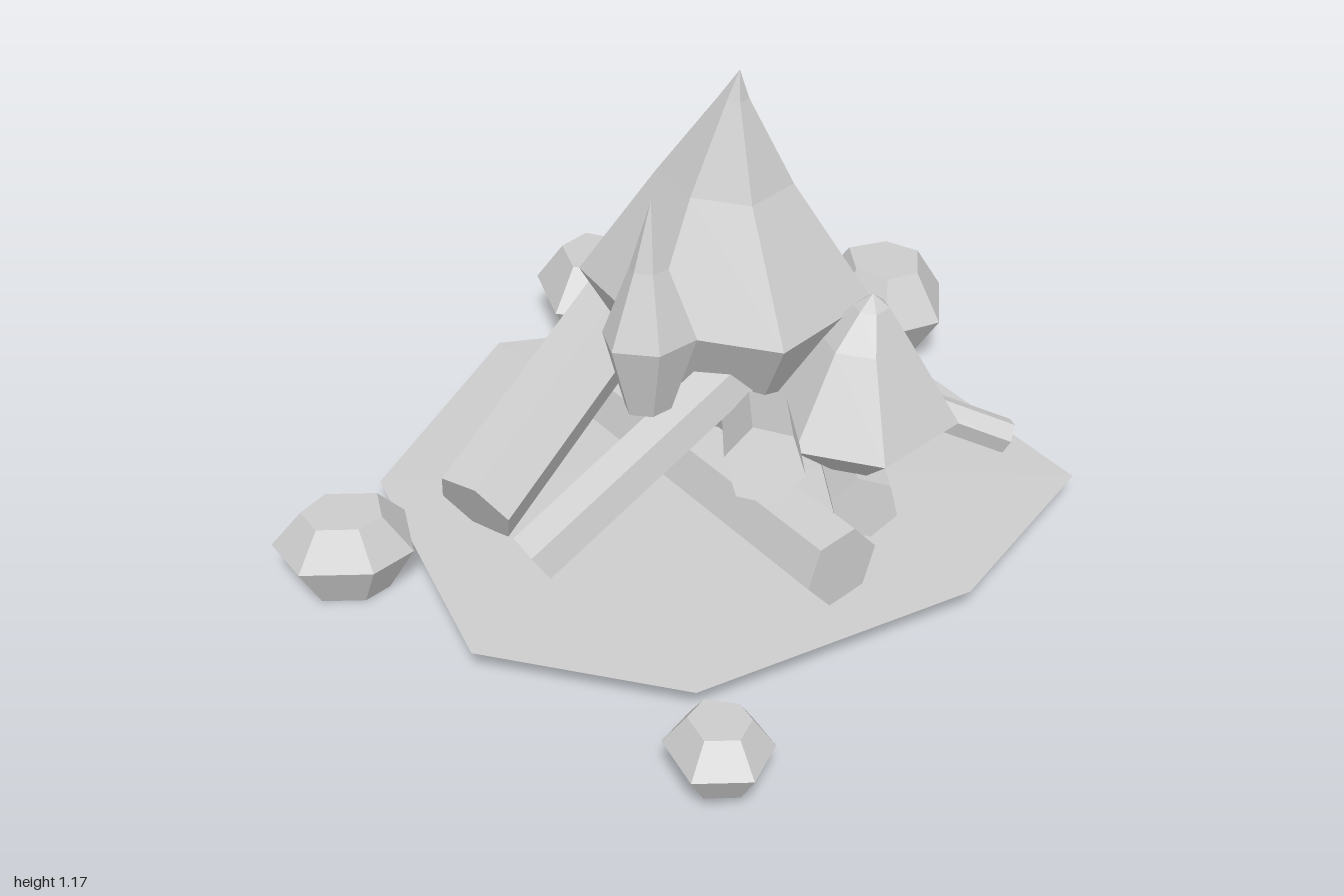
import * as THREE from 'three';

const stone = new THREE.MeshStandardMaterial({ color: 0xcccccc, side: THREE.DoubleSide });
stone.name = 'paleGrey';

function addMesh(group, name, geometry) {
  const mesh = new THREE.Mesh(geometry, stone);
  mesh.name = name;
  group.add(mesh);
  return mesh;
}

function faceted(triangles) {
  const geometry = new THREE.BufferGeometry().setFromPoints(triangles);
  geometry.computeVertexNormals();
  return geometry;
}

// Copy of an [x, z] outline at height y, scaled about its centre and shifted
function ring(outline, y, scale = 1, dx = 0, dz = 0) {
  const n = outline.length;
  const cx = outline.reduce((s, p) => s + p[0], 0) / n;
  const cz = outline.reduce((s, p) => s + p[1], 0) / n;
  return outline.map(([x, z]) =>
    new THREE.Vector3(cx + (x - cx) * scale + dx, y, cz + (z - cz) * scale + dz));
}

// Flat-faced skin through rings from bottom to top, closed to a point at each end
function loft(rings, bottom, top) {
  const tris = [];
  const n = rings[0].length;
  const last = rings[rings.length - 1];
  for (let i = 0; i < n; i++) {
    const j = (i + 1) % n;
    for (let k = 0; k + 1 < rings.length; k++) {
      const lo = rings[k], hi = rings[k + 1];
      tris.push(lo[i], hi[i], hi[j], lo[i], hi[j], lo[j]);
    }
    tris.push(bottom, rings[0][i], rings[0][j]);
    tris.push(top, last[j], last[i]);
  }
  return faceted(tris);
}

function centre(points) {
  return points.reduce((s, p) => s.add(p), new THREE.Vector3()).divideScalar(points.length);
}

export function createModel() {
  const model = new THREE.Group();
  model.name = 'campfire';

  // Thin ground sheet, slightly domed
  const edge = ring([[0.06, -0.73], [0.71, -0.58], [0.80, -0.04], [0.58, 0.64],
    [0.13, 0.88], [-0.52, 0.60], [-0.79, -0.04], [-0.45, -0.52]], 0.068);
  const crown = new THREE.Vector3(0.02, 0.09, 0.04);
  addMesh(model, 'ground', faceted(edge.flatMap((p, i) => [crown, edge[(i + 1) % edge.length], p])));

  // Six-sided logs: name, low end, high end, radius, roll
  const logs = [
    ['crossLog', [-0.465, 0.175, 0.0], [0.615, 0.175, 0.20], 0.098, 0],
    ['frontLog', [-0.175, 0.155, 0.59], [-0.255, 0.445, -0.02], 0.108, Math.PI / 6],
    ['slimFrontLog', [0.04, 0.13, 0.61], [0.20, 0.48, 0.07], 0.072, Math.PI / 6],
    ['raisedLog', [-0.19, 0.10, -0.40], [0.52, 0.485, 0.36], 0.09, 0],
    ['thinBackLog', [0.52, 0.11, -0.56], [0.08, 0.38, -0.12], 0.045, 0],
    ['shortLog', [0.14, 0.125, -0.35], [0.50, 0.165, -0.02], 0.082, 0],
  ];
  for (const [name, a, b, radius, roll] of logs) {
    const start = new THREE.Vector3(...a);
    const axis = new THREE.Vector3(...b).sub(start);
    const geometry = new THREE.CylinderGeometry(radius, radius, axis.length(), 6)
      .rotateY(roll).toNonIndexed();
    geometry.computeVertexNormals();
    const log = addMesh(model, name, geometry);
    log.position.copy(start).addScaledVector(axis, 0.5);
    log.quaternion.setFromUnitVectors(new THREE.Vector3(0, 1, 0), axis.normalize());
  }

  // Flames: outline of the widest ring, then [y, scale, dx, dz] per ring, and the tip
  const flames = [
    ['largeFlame',
      [[-0.25, -0.18], [0.06, -0.35], [0.37, -0.18], [0.38, 0.14], [0.10, 0.28], [-0.23, 0.18]],
      [[0.22, 0.3, 0, 0], [0.61, 1, 0, 0], [0.89, 0.46, 0, 0.01], [1.10, 0.1, 0.03, 0.02]],
      [0.115, 1.17, 0]],
    ['smallFlame',
      [[0.0, 0.27], [0.10, 0.19], [0.21, 0.24], [0.20, 0.35], [0.11, 0.41], [0.03, 0.36]],
      [[0.43, 0.5, 0, 0], [0.62, 1, 0, 0], [0.79, 0.4, 0, -0.01]],
      [0.11, 0.95, 0.28]],
    ['sideFlame',
      [[0.21, -0.21], [0.42, -0.33], [0.61, -0.22], [0.60, 0.04], [0.41, 0.13], [0.22, 0.03]],
      [[0.24, 0.4, 0, 0], [0.355, 1, 0, 0], [0.56, 0.45, 0, -0.01], [0.64, 0.18, 0.01, -0.02]],
      [0.42, 0.67, -0.12]],
  ];
  for (const [name, outline, levels, tip] of flames) {
    const rings = levels.map(l => ring(outline, ...l));
    addMesh(model, name, loft(rings, centre(rings[0]), new THREE.Vector3(...tip)));
  }

  // Rocks around the fire: widest outline, then bottom, middle and top heights
  const rocks = [
    ['leftRock', [[-0.9, -0.45], [-0.70, -0.525], [-0.58, -0.45], [-0.56, -0.26],
      [-0.70, -0.17], [-0.89, -0.28]], 0.02, 0.14, 0.25],
    ['backRock', [[-0.2, -0.97], [-0.03, -1], [0.10, -0.83], [0.04, -0.68],
      [-0.13, -0.66], [-0.29, -0.80]], 0.035, 0.15, 0.275],
    ['frontRock', [[-0.34, 0.67], [-0.20, 0.76], [-0.20, 0.88], [-0.32, 1.0],
      [-0.46, 0.97], [-0.49, 0.82]], 0.0, 0.11, 0.20],
    ['rightRock', [[0.76, 0.66], [0.85, 0.69], [0.89, 0.80], [0.80, 0.89],
      [0.67, 0.84], [0.65, 0.73]], 0.04, 0.12, 0.19],
  ];
  for (const [name, outline, low, mid, high] of rocks) {
    const rings = [ring(outline, low, 0.6), ring(outline, mid), ring(outline, high, 0.57)];
    addMesh(model, name, loft(rings, centre(rings[0]), centre(rings[2])));
  }

  return model;
}
